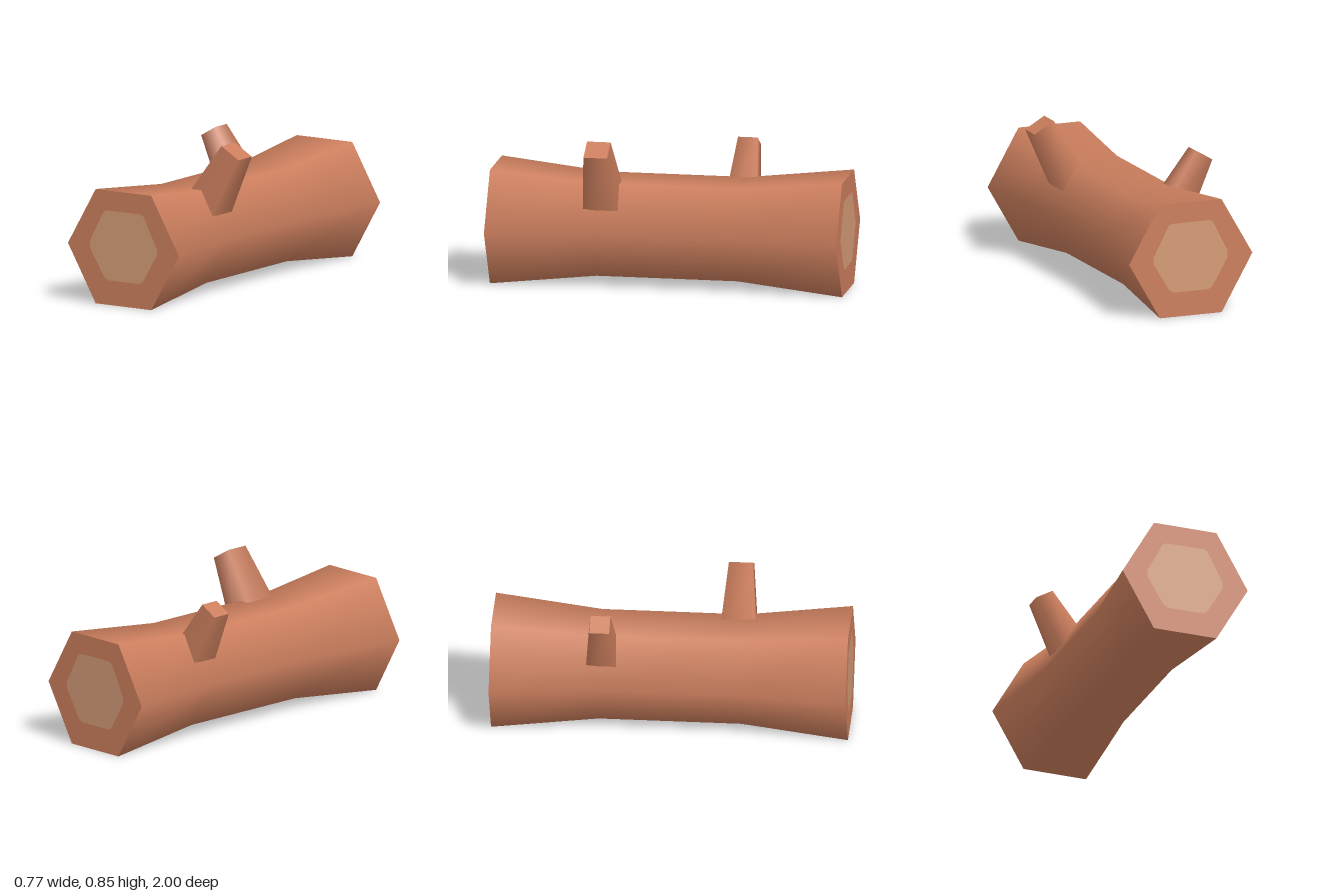
import * as THREE from 'three';

export function createModel() {
  const model = new THREE.Group();
  model.name = 'log';
  const bark = new THREE.MeshStandardMaterial({ color: 0xcb7e5d });
  bark.name = 'bark';
  const wood = new THREE.MeshStandardMaterial({ color: 0xd49b77 });
  wood.name = 'heartwood';

  function add(parent, name, geometry, material) {
    const mesh = new THREE.Mesh(geometry, material);
    mesh.name = name;
    parent.add(mesh);
    return mesh;
  }

  // Six-sided trunk lying along z, narrower in the middle
  const trunk = new THREE.Group();
  trunk.name = 'trunk';
  trunk.position.set(-0.01, 0.325, 0);
  model.add(trunk);
  const profile = [[0.375, -1], [0.306, -0.4], [0.306, 0.4], [0.375, 1]]
    .map(([r, y]) => new THREE.Vector2(r, y));
  const sides = new THREE.LatheGeometry(profile, 6, Math.PI / 2, Math.PI * 2);
  sides.rotateX(Math.PI / 2);
  add(trunk, 'trunkBark', sides, bark);

  // Cut ends: a bark rim around a paler core with clipped corners
  const core = [
    [0.225, 0.025], [0.135, 0.2], [0.115, 0.211], [-0.11, 0.211], [-0.135, 0.2], [-0.227, 0.025],
    [-0.227, -0.01], [-0.13, -0.17], [-0.105, -0.185], [0.11, -0.185], [0.135, -0.165], [0.225, -0.01],
  ].map(([x, y]) => new THREE.Vector2(x, y));
  const rim = new THREE.Shape();
  for (let i = 0; i < 6; i++) {
    const a = i * Math.PI / 3;
    rim[i ? 'lineTo' : 'moveTo'](0.375 * Math.cos(a), 0.375 * Math.sin(a));
  }
  rim.closePath();
  rim.holes.push(new THREE.Path(core));
  for (const [name, turn] of [['front', 0], ['back', Math.PI]]) {
    const end = new THREE.Group();
    end.name = name + 'End';
    end.rotation.y = turn;
    trunk.add(end);
    add(end, name + 'Rim', new THREE.ShapeGeometry(rim), bark).position.z = 1;
    add(end, name + 'Core', new THREE.ShapeGeometry(new THREE.Shape(core)), wood).position.z = 1;
  }

  // Tapered four-sided branch stubs, placed by the centre of their cut tops
  function branch(name, x, y, z, half, tilt) {
    const length = 0.5;
    const geometry = new THREE.CylinderGeometry(
      half * Math.SQRT2, (half + 0.088 * length) * Math.SQRT2, length, 4, 1, false, Math.PI / 4);
    geometry.translate(0, -length / 2, 0);
    const mesh = add(model, name, geometry, bark);
    mesh.position.set(x, y, z);
    mesh.rotation.z = tilt;
  }
  branch('leftBranch', 0.323, 0.82, 0.365, 0.067, -0.53);
  branch('rightBranch', -0.336, 0.762, -0.38, 0.056, 0.53);

  return model;
}
